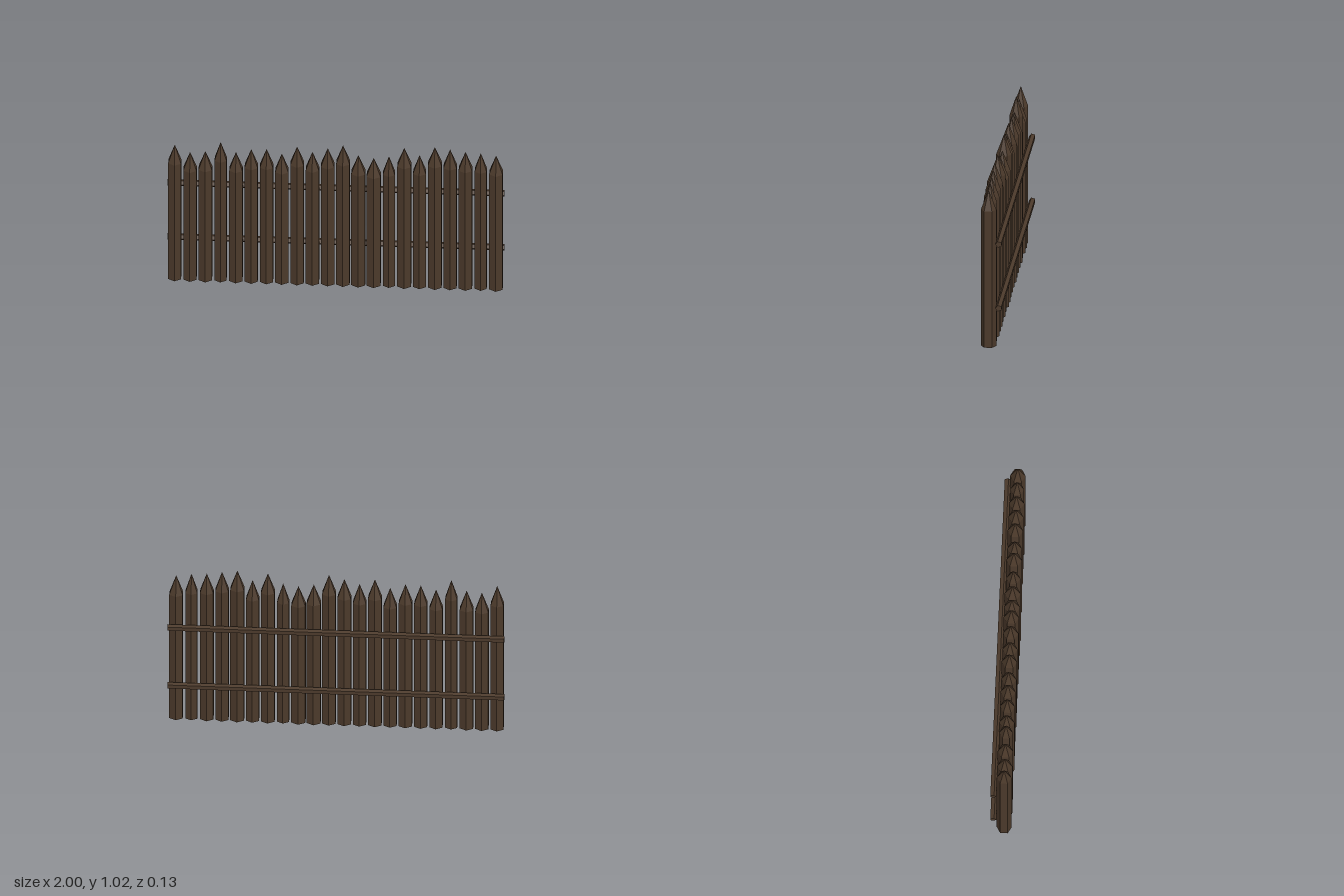
import * as THREE from 'three';

// Full height and radius of each stake, from the model's right (-x) to its left
const HEIGHTS = [0.98, 0.93, 0.94, 1.01, 0.94, 0.965, 0.97, 0.94, 0.995, 0.96, 0.99,
  1.015, 0.945, 0.93, 0.945, 1.01, 0.96, 1.023, 1.01, 0.995, 0.99, 0.975];
const RADII = [0.044, 0.045, 0.046, 0.041, 0.045, 0.045, 0.045, 0.045, 0.046, 0.045, 0.046,
  0.046, 0.048, 0.048, 0.041, 0.047, 0.044, 0.047, 0.045, 0.046, 0.041, 0.046];
const SPACING = 0.0908;
const TIP = 0.123;

// Split the faces so every facet is flat
function faceted(geometry) {
  const flat = geometry.toNonIndexed();
  flat.computeVertexNormals();
  return flat;
}

export function createModel() {
  const fence = new THREE.Group();
  fence.name = 'palisadeFence';
  const wood = new THREE.MeshStandardMaterial({ color: 0x4c3a2b });
  wood.name = 'darkWood';

  // Six-sided stakes with sharpened tips
  const stakes = new THREE.Group();
  stakes.name = 'stakes';
  HEIGHTS.forEach((h, i) => {
    const r = RADII[i];
    const profile = [[0, 0], [r, 0], [r, h - TIP], [0, h]].map(([x, y]) => new THREE.Vector2(x, y));
    const stake = new THREE.Mesh(faceted(new THREE.LatheGeometry(profile, 6)), wood);
    stake.name = `stake${i + 1}`;
    stake.position.set((i - (HEIGHTS.length - 1) / 2) * SPACING, 0, 0.016);
    stakes.add(stake);
  });
  fence.add(stakes);

  // Two five-sided rails along the back
  const railGeometry = faceted(new THREE.CylinderGeometry(0.02, 0.02, 2, 5).rotateZ(Math.PI / 2));
  [['lowerRail', 0.25], ['upperRail', 0.65]].forEach(([name, y]) => {
    const rail = new THREE.Mesh(railGeometry, wood);
    rail.name = name;
    rail.position.set(0, y, -0.048);
    fence.add(rail);
  });
  return fence;
}
